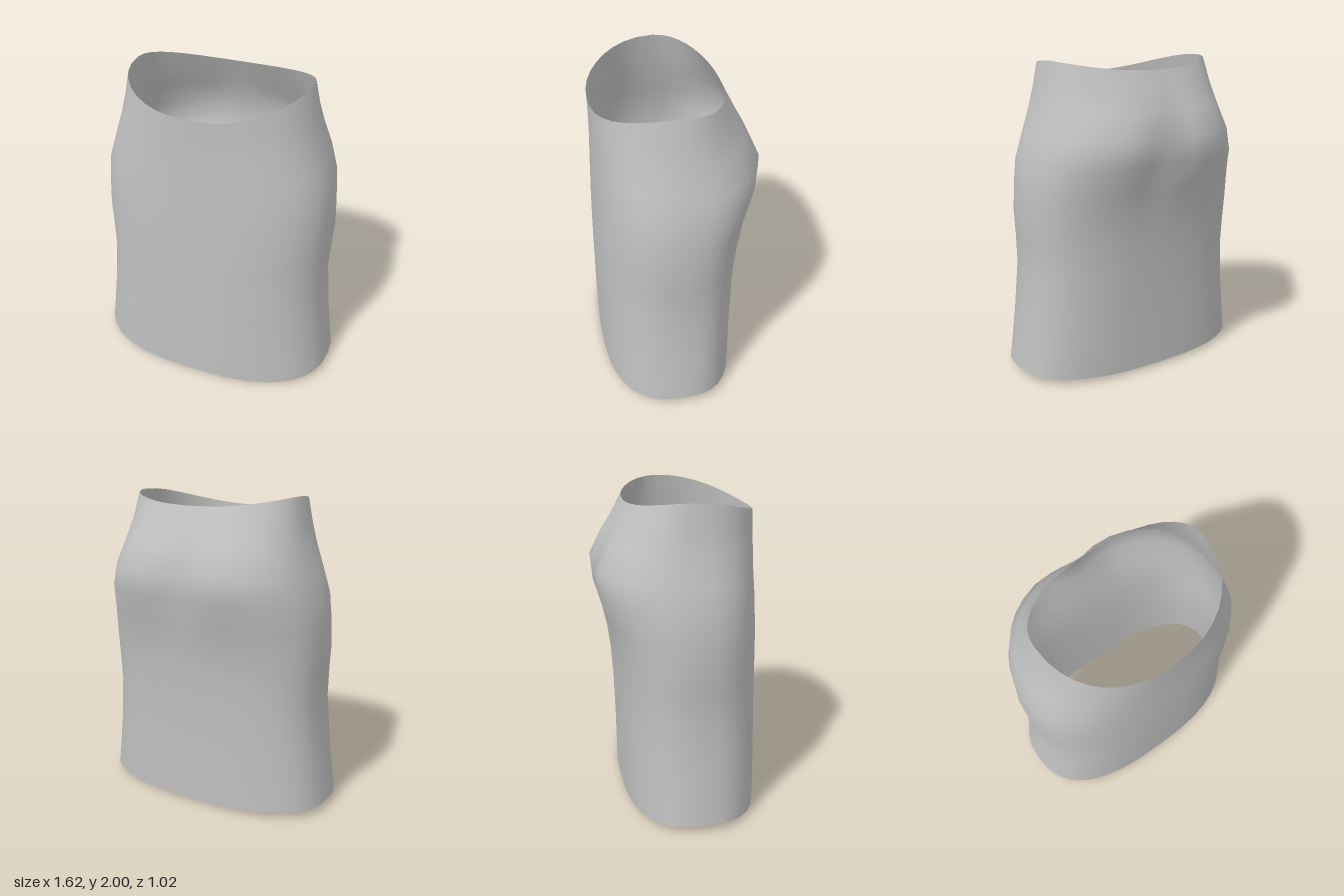
import * as THREE from 'three';

// Cross-sections from hem to waist:
// height, half width, front z, back z, centre z, front roundness, back roundness, back cleft depth
const rows = [
  [0.00, 0.81, 0.505, -0.365, 0.04, 2.6, 2.6, 0],
  [0.38, 0.765, 0.507, -0.37, 0.035, 2.6, 2.6, 0],
  [0.70, 0.737, 0.507, -0.38, 0.03, 2.55, 2.6, 0],
  [0.90, 0.748, 0.505, -0.395, 0.02, 2.5, 2.5, 0],
  [1.05, 0.757, 0.503, -0.415, 0.02, 2.5, 2.45, 0.005],
  [1.22, 0.75, 0.498, -0.455, 0.02, 2.5, 2.4, 0.02],
  [1.39, 0.735, 0.494, -0.515, 0.02, 2.45, 2.4, 0.06],
  [1.54, 0.688, 0.49, -0.535, 0.02, 2.4, 2.4, 0.07],
  [1.70, 0.637, 0.49, -0.455, 0.01, 2.35, 2.3, 0.035],
  [1.83, 0.607, 0.492, -0.385, 0.0, 2.3, 2.2, 0.01],
  [2.00, 0.573, 0.495, -0.312, 0.0, 2.25, 2.15, 0],
];
const SEGMENTS = 36;

const power = (v, p) => Math.sign(v) * Math.abs(v) ** p;

// Waist dips at the front and a little at the back; hem rises at the sides
function edgeHeight(j, y, c) {
  if (j === 0) return c > 0 ? 0.05 * (1 - c * c) : 0.05 - 0.03 * c * c;
  if (j === rows.length - 1) return y - (c > 0 ? 0.12 : 0.06) * c * c;
  // upper row follows the waist slightly
  if (j === rows.length - 2) return y - (c > 0 ? 0.05 : 0.02) * c * c;
  return y;
}

function skirtGeometry() {
  const positions = [];
  const indices = [];
  rows.forEach(([y, halfWidth, front, back, centre, nFront, nBack, cleft], j) => {
    for (let i = 0; i < SEGMENTS; i++) {
      const a = (i / SEGMENTS) * Math.PI * 2;
      const s = Math.sin(a);
      const c = Math.cos(a);
      const p = 2 / (c > 0 ? nFront : nBack);
      const depth = c > 0 ? front - centre : centre - back;
      const x = halfWidth * power(s, p);
      let z = centre + depth * power(c, p);
      if (c < 0) z += cleft * Math.exp(-((x / 0.13) ** 2));
      positions.push(x, edgeHeight(j, y, power(c, p)), z);
      if (j > 0) {
        const next = (i + 1) % SEGMENTS;
        const lo = (j - 1) * SEGMENTS;
        const hi = j * SEGMENTS;
        indices.push(lo + i, lo + next, hi + next, lo + i, hi + next, hi + i);
      }
    }
  });
  const geometry = new THREE.BufferGeometry();
  geometry.setAttribute('position', new THREE.Float32BufferAttribute(positions, 3));
  geometry.setIndex(indices);
  geometry.computeVertexNormals();
  return geometry;
}

export function createModel() {
  const group = new THREE.Group();
  group.name = 'skirt';
  const fabric = new THREE.MeshStandardMaterial({ color: 0xc0c0c0, side: THREE.DoubleSide });
  fabric.name = 'grey fabric';
  const skirt = new THREE.Mesh(skirtGeometry(), fabric);
  skirt.name = 'skirtFabric';
  group.add(skirt);
  return group;
}
